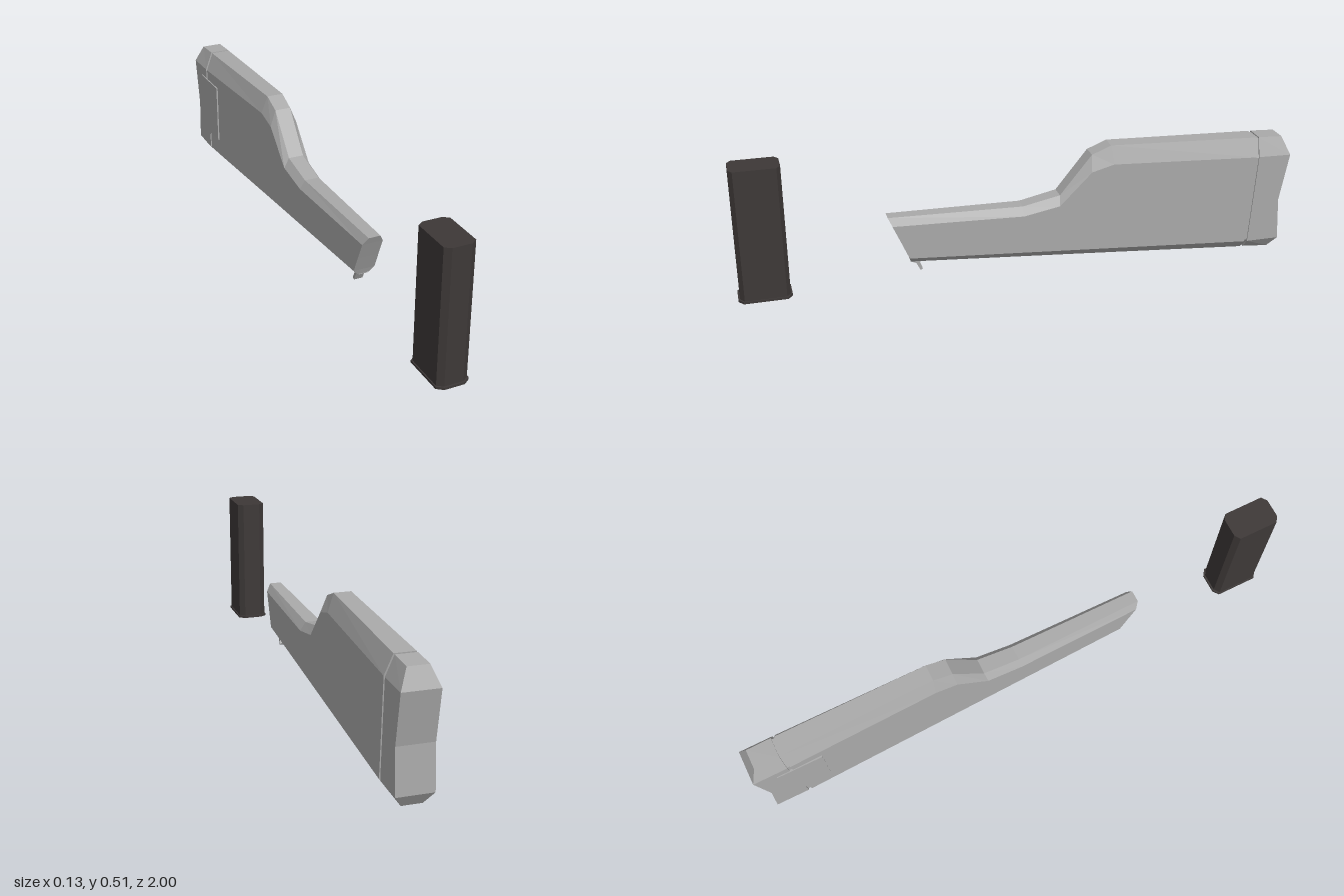
import * as THREE from 'three';

const stockGray = new THREE.MeshStandardMaterial({ color: 0xa9a9a9, flatShading: true });
stockGray.name = 'stockGray';
const magazineDark = new THREE.MeshStandardMaterial({ color: 0x3d3837, flatShading: true });
magazineDark.name = 'magazineDark';

// half width of the stock grows evenly towards the butt
const halfWidth = (z) => 0.0375 + 0.025 * Math.min(1, (0.47 - z) / 1.32);
const lowerEdge = (z) => Math.max(0.045, 0.125 - 0.0635 * (0.41 - z));
const bottomEdge = (z) => 0.105 - 0.0738 * (0.405 - z);
// x share of the half width: top, shoulder, middle, lower edge, bottom
const share = [0.57, 1, 1, 1, 0.55];

// a section is five [z, y] points from top to bottom; inset shrinks it
const section = (points, inset = 0) => points.map(([z, y], i) => [
  halfWidth(z) * share[i] - inset,
  y + [-inset, -inset, 0, inset, inset][i],
  z,
]);

// skin mirrored sections, listed front to back, and close both ends
function loft(sections) {
  const pos = [];
  const quad = (a, b, c, d) => pos.push(...a, ...b, ...c, ...a, ...c, ...d);
  const mirror = ([x, y, z]) => [-x, y, z];
  const rings = sections.map((s) => [...s, ...s.map(mirror).reverse()]);
  const n = rings[0].length;
  for (let i = 0; i < rings.length - 1; i++) {
    for (let j = 0; j < n; j++) {
      const k = (j + 1) % n;
      quad(rings[i][j], rings[i][k], rings[i + 1][k], rings[i + 1][j]);
    }
  }
  const first = sections[0], last = sections[sections.length - 1];
  for (let k = 0; k < first.length - 1; k++) {
    quad(mirror(first[k]), mirror(first[k + 1]), first[k + 1], first[k]);
    quad(last[k], last[k + 1], mirror(last[k + 1]), mirror(last[k]));
  }
  const geo = new THREE.BufferGeometry();
  geo.setAttribute('position', new THREE.Float32BufferAttribute(pos, 3));
  geo.computeVertexNormals();
  return geo;
}

// upright prism with chamfered corners
function chamferedPrism(w, d, cx, cz, height) {
  const x = w / 2, z = d / 2;
  const shape = new THREE.Shape([
    [x - cx, -z], [x, -z + cz], [x, z - cz], [x - cx, z],
    [-x + cx, z], [-x, z - cz], [-x, -z + cz], [-x + cx, -z],
  ].map(([a, b]) => new THREE.Vector2(a, b)));
  return new THREE.ExtrudeGeometry(shape, { depth: height, bevelEnabled: false }).rotateX(-Math.PI / 2);
}

export function createModel() {
  const model = new THREE.Group();
  model.name = 'stockAndMagazine';
  const add = (parent, name, geometry, material, x = 0, y = 0, z = 0) => {
    const mesh = new THREE.Mesh(geometry, material);
    mesh.name = name;
    mesh.position.set(x, y, z);
    parent.add(mesh);
    return mesh;
  };

  const stock = new THREE.Group();
  stock.name = 'stock';
  model.add(stock);

  // slanted cut between body and butt pad
  const cut = (shift) => [0.445, 0.378, 0.2, 0.045, 0.012].map((y) => [-0.841 - 0.068 * y - shift, y]);

  // body: slanted front, low wrist, raised comb
  const stations = [
    [0, 0.27, 0, 0.24],
    [-0.135, 0.298, -0.13, 0.265],
    [-0.25, 0.44, -0.245, 0.382],
    [-0.32, 0.468, -0.325, 0.404],
  ].map(([zt, yt, zs, ys]) => {
    const low = lowerEdge(zs);
    return section([[zt, yt], [zs, ys], [zs, (ys + low) / 2], [zs, low], [zs, bottomEdge(zs)]]);
  });
  add(stock, 'stockBody', loft([
    section([[0.478, 0.28], [0.465, 0.252], [0.437, 0.188], [0.41, 0.125], [0.403, 0.105]]),
    ...stations,
    section(cut(0)),
  ]), stockGray);

  // recessed seam
  add(stock, 'seamCore', loft([section(cut(-0.01), 0.004), section(cut(0.022), 0.004)]), stockGray);

  // butt pad with hollowed rear face
  add(stock, 'buttPad', loft([
    section(cut(0.011)),
    section([[-0.972, 0.44], [-1, 0.375], [-0.968, 0.2], [-0.977, 0.045], [-0.95, 0.003]]),
  ]), stockGray);

  // side hatch with its small catch
  add(stock, 'sideHatch', new THREE.BoxGeometry(0.008, 0.225, 0.165), stockGray, -0.062, 0.2275, -0.84);
  add(stock, 'hatchCatch', new THREE.BoxGeometry(0.006, 0.012, 0.02), stockGray, -0.0615, 0.11, -0.85);

  // hook under the front end
  const hookShape = new THREE.Shape([
    [0.403, 0.112], [0.366, 0.112], [0.371, 0.092], [0.361, 0.07], [0.369, 0.064], [0.384, 0.094], [0.403, 0.102],
  ].map(([z, y]) => new THREE.Vector2(-z, y)));
  const hook = new THREE.ExtrudeGeometry(hookShape, { depth: 0.032, bevelEnabled: false });
  hook.translate(0, 0, -0.016).rotateY(Math.PI / 2);
  add(stock, 'frontHook', hook, stockGray);

  // separate magazine with a thin base lip
  const magazine = new THREE.Group();
  magazine.name = 'magazine';
  model.add(magazine);
  add(magazine, 'magazineBody', chamferedPrism(0.106, 0.17, 0.02, 0.014, 0.473), magazineDark, 0.001, 0.043, 0.909);
  add(magazine, 'magazineBase', chamferedPrism(0.114, 0.182, 0.022, 0.016, 0.008), magazineDark, 0.001, 0.037, 0.909);

  return model;
}
